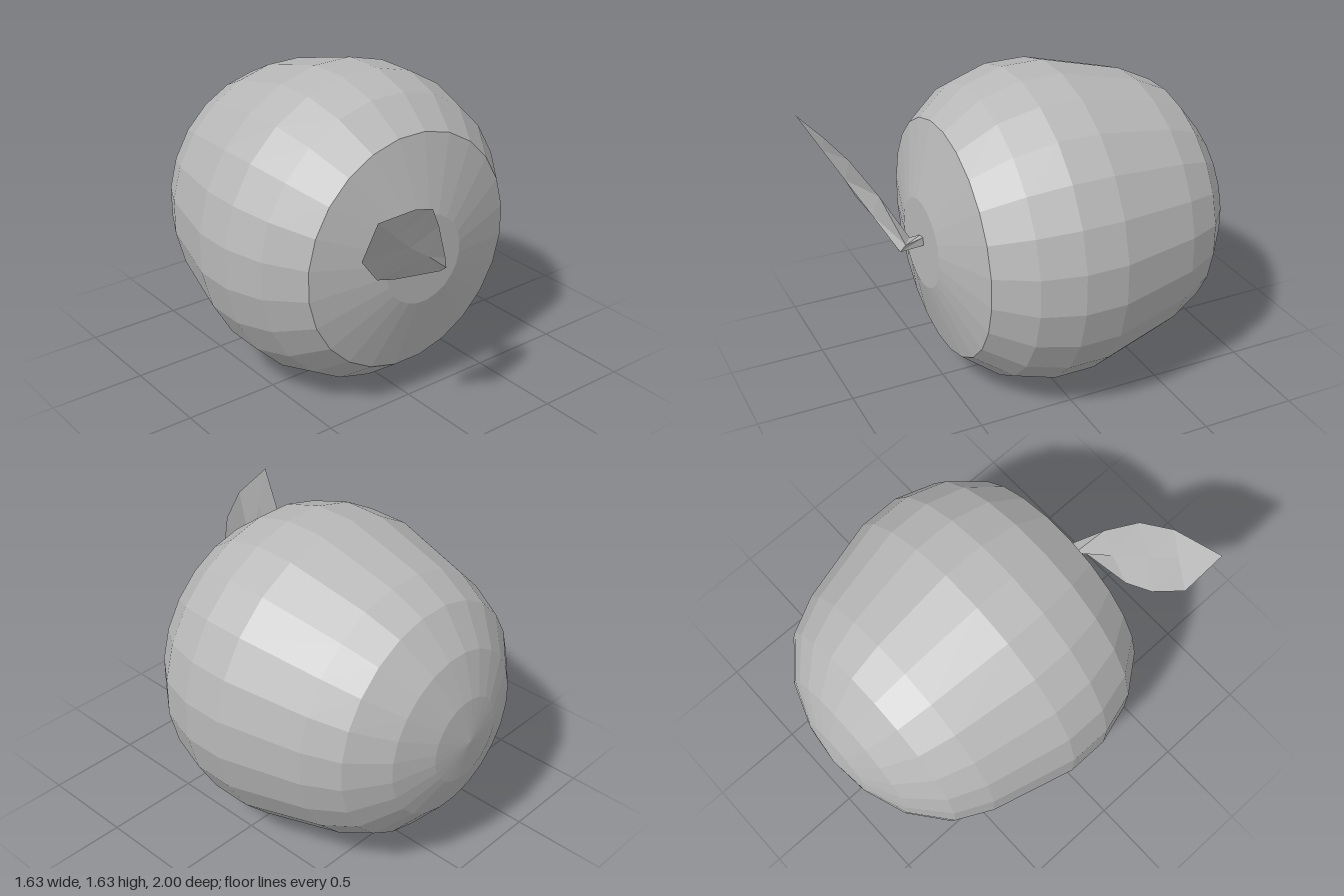
import * as THREE from 'three';

const grey = new THREE.MeshStandardMaterial({ color: 0xb8b8b8 });
grey.name = 'grey';

// Unshared corners give each facet its own normal
function faceted(name, geometry) {
  const flat = geometry.index ? geometry.toNonIndexed() : geometry;
  flat.computeVertexNormals();
  const mesh = new THREE.Mesh(flat, grey);
  mesh.name = name;
  return mesh;
}

// Fruit: a 24-sided turned profile lying along z, as [radius, z]
function createFruit() {
  const profile = [
    [0, -1], [0.222, -0.97], [0.434, -0.89], [0.617, -0.74], [0.706, -0.56],
    [0.82, -0.13], [0.82, 0.09], [0.757, 0.3], [0.615, 0.485], [0.232, 0.59], [0, 0.59],
  ].map(([r, z]) => new THREE.Vector2(r, z));
  const geometry = new THREE.LatheGeometry(profile, 24, Math.PI / 24);
  geometry.rotateX(Math.PI / 2);
  geometry.translate(0, 0.815, 0);
  return faceted('fruit', geometry);
}

// Leaf: four-cornered sections (upper edge, front rib, lower edge, back rib)
// from the short stem out to the tip
function createLeaf() {
  const sections = [
    [[0.03, 0.86, 0.585], [0.03, 0.815, 0.585], [-0.02, 0.81, 0.585], [-0.02, 0.85, 0.585]],
    [[0.05, 0.85, 0.69], [0.035, 0.81, 0.715], [0, 0.8, 0.71], [0, 0.86, 0.65]],
    [[-0.07, 1.08, 0.77], [-0.14, 0.95, 0.79], [-0.3, 0.86, 0.73], [-0.17, 0.96, 0.75]],
    [[-0.2, 1.24, 0.87], [-0.32, 1.08, 0.86], [-0.44, 0.92, 0.775], [-0.32, 1.08, 0.83]],
    [[-0.36, 1.31, 0.94], [-0.46, 1.2, 0.925], [-0.58, 1.08, 0.84], [-0.46, 1.2, 0.89]],
  ];
  const tip = [-0.62, 1.34, 1];
  const corners = [];
  for (let s = 0; s < sections.length; s++) {
    const here = sections[s];
    const next = sections[s + 1];
    for (let i = 0; i < 4; i++) {
      const j = (i + 1) % 4;
      if (next) corners.push(here[i], next[i], next[j], here[i], next[j], here[j]);
      else corners.push(here[i], tip, here[j]);
    }
  }
  const geometry = new THREE.BufferGeometry();
  geometry.setAttribute('position', new THREE.Float32BufferAttribute(corners.flat(), 3));
  return faceted('leaf', geometry);
}

export function createModel() {
  const group = new THREE.Group();
  group.name = 'fruitWithLeaf';
  group.add(createFruit(), createLeaf());
  return group;
}
